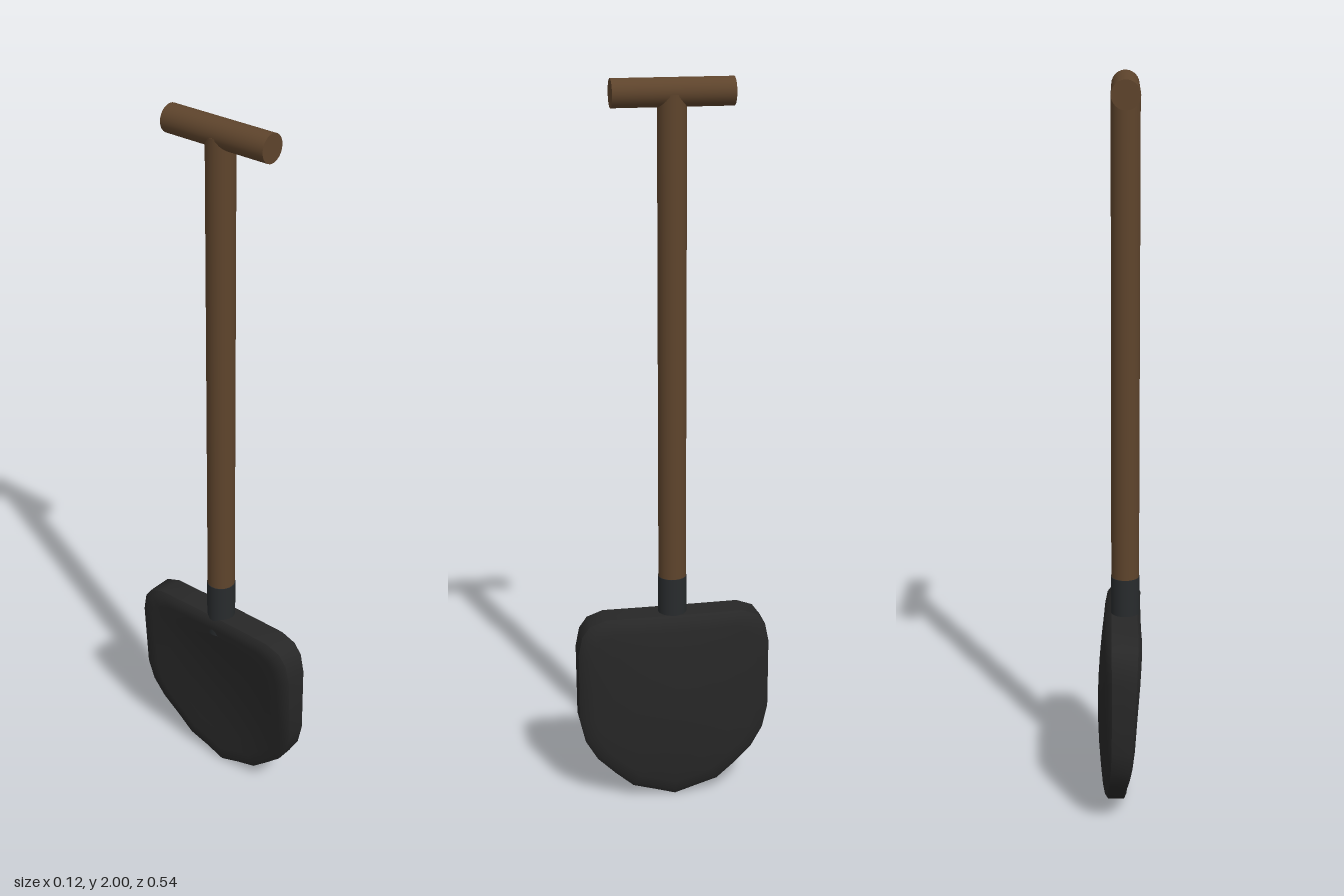
import * as THREE from 'three';
import { toCreasedNormals } from 'three/addons/utils/BufferGeometryUtils.js';

const wood = new THREE.MeshStandardMaterial({ color: 0x5e442c });
wood.name = 'brown wood';
const iron = new THREE.MeshStandardMaterial({ color: 0x272727 });
iron.name = 'dark iron';
const socketIron = new THREE.MeshStandardMaterial({ color: 0x282b2d });
socketIron.name = 'socket iron';

const AXIS_X = -0.012;

// Half outline of the blade as [z, y], from the tip up to the shoulder
const HALF = [
  [0, 0], [0.06, 0.02], [0.12, 0.038], [0.17, 0.082], [0.22, 0.13], [0.253, 0.185],
  [0.268, 0.25], [0.268, 0.35], [0.268, 0.45], [0.257, 0.503], [0.235, 0.533],
  [0.19, 0.549], [0.1, 0.549], [0, 0.549],
];

// Rounded slab, thinner toward the tip and dished toward +x
function bladeGeometry() {
  const mirrored = HALF.slice(1, -1).reverse().map(([z, y]) => [-z, y]);
  const outline = [...HALF, ...mirrored];
  const n = outline.length;
  const midY = 0.29;
  // Rings from one face, over the rim, to the other: [scale, depth]
  const side = [[0, 1], [0.22, 1], [0.44, 1], [0.66, 1], [0.85, 1], [0.95, 0.93], [1, 0.7]];
  const rings = [...side, ...side.slice().reverse().map(([s, d]) => [s, -d])];

  const positions = [];
  for (const [scale, depth] of rings) {
    for (const [oz, oy] of outline) {
      const z = oz * scale;
      const y = midY + (oy - midY) * scale;
      const t = y / 0.55;
      const centre = THREE.MathUtils.lerp(0.004, -0.0125, t);
      const thick = THREE.MathUtils.lerp(0.03, 0.051, t);
      const along = Math.max(0.1, 1 - 0.85 * ((y - 0.26) / 0.28) ** 2);
      const dish = 0.028 * (1 - (z / 0.27) ** 2) * along;
      positions.push(centre + dish + thick * depth, y, z);
    }
  }
  const index = [];
  for (let r = 0; r < rings.length - 1; r++) {
    for (let i = 0; i < n; i++) {
      const j = (i + 1) % n;
      const a = r * n + i, b = r * n + j, c = a + n, d = b + n;
      // The first and last rings shrink to a point
      if (r < rings.length - 2) index.push(a, d, c);
      if (r > 0) index.push(a, b, d);
    }
  }
  const geometry = new THREE.BufferGeometry();
  geometry.setAttribute('position', new THREE.Float32BufferAttribute(positions, 3));
  // Wind the faces outward
  for (let i = 0; i < index.length; i += 3) {
    [index[i + 1], index[i + 2]] = [index[i + 2], index[i + 1]];
  }
  geometry.setIndex(index);
  // Make sure the enclosed volume is positive
  const p = [new THREE.Vector3(), new THREE.Vector3(), new THREE.Vector3()];
  let volume = 0;
  for (let i = 0; i < index.length; i += 3) {
    p.forEach((v, k) => v.fromBufferAttribute(geometry.attributes.position, index[i + k]));
    volume += p[0].dot(p[1].clone().cross(p[2]));
  }
  if (volume < 0) geometry.setIndex(index.reverse());
  return toCreasedNormals(geometry, 0.75);
}

function rod(name, radius, length, material) {
  const mesh = new THREE.Mesh(new THREE.CylinderGeometry(radius, radius, length, 24), material);
  mesh.name = name;
  return mesh;
}

export function createModel() {
  const group = new THREE.Group();
  group.name = 'shovel';

  const blade = new THREE.Mesh(bladeGeometry(), iron);
  blade.name = 'blade';

  const socket = rod('socket', 0.0395, 0.165, socketIron);
  socket.position.set(AXIS_X, 0.5725, 0);

  const shaft = rod('shaft', 0.038, 1.32, wood);
  shaft.position.set(AXIS_X, 1.3, 0);

  const grip = rod('crossGrip', 0.037, 0.317, wood);
  grip.rotation.x = Math.PI / 2;
  grip.position.set(AXIS_X, 1.963, -0.001);

  group.add(blade, socket, shaft, grip);
  return group;
}
